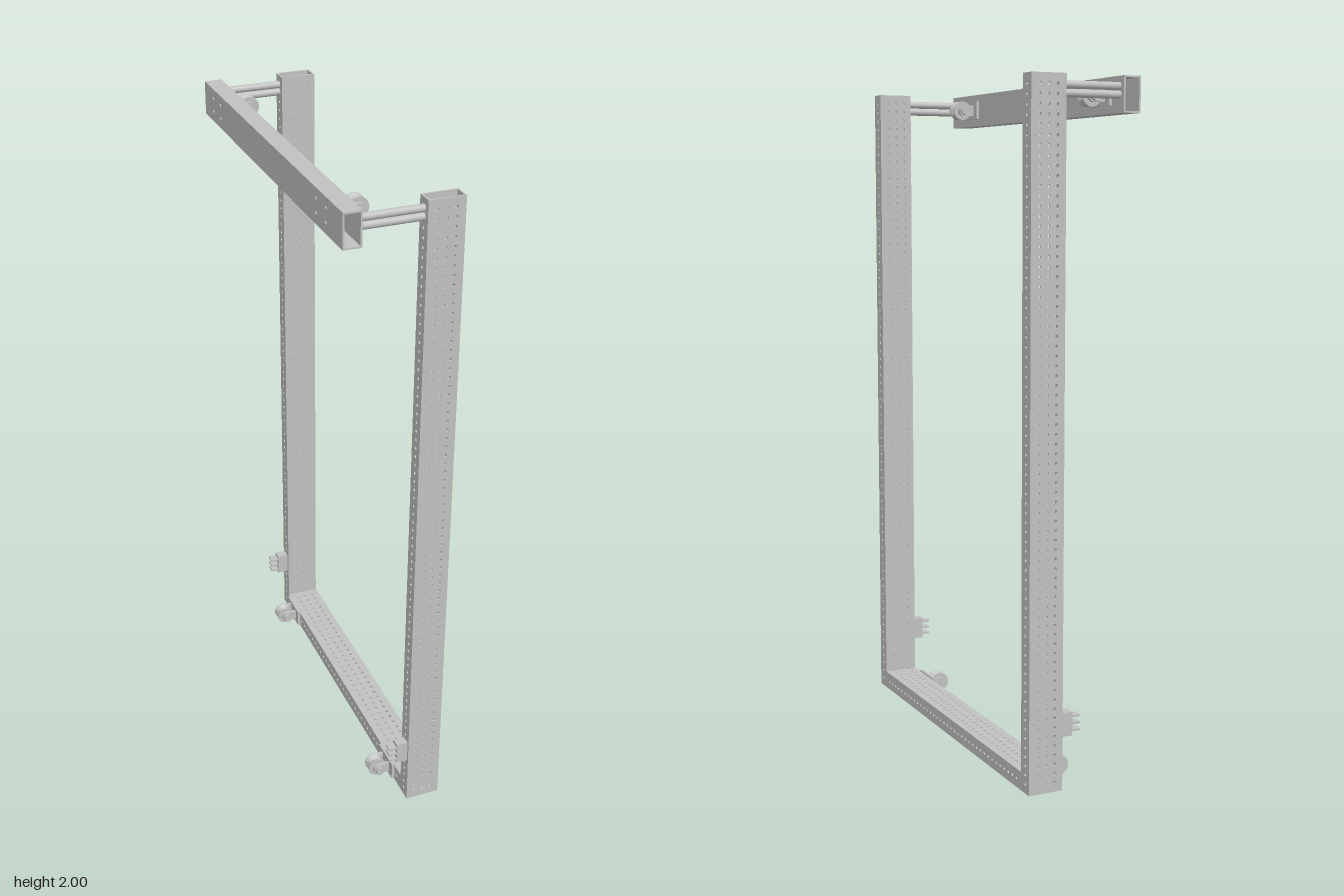
import * as THREE from 'three';
import { toCreasedNormals } from 'three/addons/utils/BufferGeometryUtils.js';

const steel = new THREE.MeshStandardMaterial({ color: 0xc0c0c0 });
steel.name = 'galvanised steel';

const WALL = 0.005;
const PITCH = 0.027;
const HOLE = 0.005;

function add(parent, name, geometry, x = 0, y = 0, z = 0) {
  const mesh = new THREE.Mesh(geometry, steel);
  mesh.name = name;
  mesh.position.set(x, y, z);
  parent.add(mesh);
  return mesh;
}

// Upright plate, centred, with a regular grid of punched holes
function plate(width, length, cols, rows) {
  const w = width / 2, l = length / 2;
  const shape = new THREE.Shape();
  shape.moveTo(-w, -l).lineTo(w, -l).lineTo(w, l).lineTo(-w, l).closePath();
  for (let r = 0; r < rows; r++) {
    for (let c = 0; c < cols; c++) {
      const hole = new THREE.Path();
      hole.absarc((c - (cols - 1) / 2) * PITCH, (r - (rows - 1) / 2) * PITCH, HOLE, 0, Math.PI * 2, true);
      shape.holes.push(hole);
    }
  }
  const geometry = new THREE.ExtrudeGeometry(shape, { depth: WALL, bevelEnabled: false, curveSegments: 6 });
  return geometry.translate(0, 0, -WALL / 2);
}

// Open-ended box section running along its own y axis
function boxSection(name, width, depth, length, wideCols, narrowCols, rows) {
  const group = new THREE.Group();
  group.name = name;
  const wide = plate(width, length, wideCols, rows);
  const narrow = plate(depth - WALL * 2, length, narrowCols, rows);
  for (const s of [-1, 1]) {
    add(group, 'wideWall', wide, 0, 0, s * (depth - WALL) / 2);
    add(group, 'narrowWall', narrow, s * (width - WALL) / 2, 0, 0).rotation.y = Math.PI / 2;
  }
  return group;
}

// Grooved pulley in a fork, mounting face at x = 0, reaching out along +x
function roller(name, headSide) {
  const group = new THREE.Group();
  group.name = name;
  const axleX = 0.043;
  add(group, 'mountPlate', new THREE.BoxGeometry(0.009, 0.056, 0.105), 0.0045, 0, 0);
  for (const s of [-1, 1]) {
    add(group, 'forkArm', new THREE.BoxGeometry(0.04, 0.034, 0.011), 0.027, 0, s * 0.024);
    const boss = new THREE.CylinderGeometry(0.017, 0.017, 0.011, 20).rotateX(Math.PI / 2);
    add(group, 'forkEnd', boss, axleX, 0, s * 0.024);
  }
  const profile = [
    [0.006, -0.018], [0.03, -0.018], [0.03, -0.014], [0.022, -0.006], [0.019, 0],
    [0.022, 0.006], [0.03, 0.014], [0.03, 0.018], [0.006, 0.018],
  ].map(([r, h]) => new THREE.Vector2(r, h));
  const wheel = toCreasedNormals(new THREE.LatheGeometry(profile, 32), 0.6).rotateX(Math.PI / 2);
  add(group, 'pulley', wheel, axleX, 0, 0);
  add(group, 'axle', new THREE.CylinderGeometry(0.007, 0.007, 0.068, 16).rotateX(Math.PI / 2), axleX, 0, 0);
  add(group, 'boltHead', new THREE.CylinderGeometry(0.014, 0.014, 0.012, 6).rotateX(Math.PI / 2),
    axleX, 0, headSide * 0.035);
  return group;
}

export function createModel() {
  const model = new THREE.Group();
  model.name = 'liftFrame';

  // Perforated uprights and the sill between them
  for (const s of [-1, 1]) {
    const post = boxSection(s > 0 ? 'frontPost' : 'backPost', 0.106, 0.05, 2, 3, 1, 73);
    post.position.set(0.113, 1, s * 0.54);
    model.add(post);
  }
  const sill = boxSection('sillBeam', 0.106, 0.055, 1.03, 3, 1, 37);
  sill.rotation.x = Math.PI / 2;
  sill.position.set(0.113, 0.0275, 0);
  model.add(sill);

  // Plain top rail set off to the side
  const rail = boxSection('topRail', 0.053, 0.1, 1.13, 0, 0, 0);
  rail.rotation.x = Math.PI / 2;
  rail.position.set(-0.1435, 1.95, 0);
  model.add(rail);

  for (const s of [-1, 1]) {
    // Paired rods joining rail and post
    for (const y of [1.972, 1.949]) {
      const rod = new THREE.CylinderGeometry(0.011, 0.011, 0.178, 20).rotateZ(Math.PI / 2);
      add(model, 'spacerRod', rod, -0.029, y, s * 0.541);
    }
    // Three-pronged cleat low on each post
    const cleat = new THREE.Group();
    cleat.name = 'cleat';
    add(cleat, 'cleatBody', new THREE.BoxGeometry(0.035, 0.07, 0.03), 0.0425, 0, 0);
    for (const y of [-0.021, 0, 0.021]) {
      add(cleat, 'prong', new THREE.BoxGeometry(0.026, 0.006, 0.028), 0.013, y, 0);
    }
    cleat.position.set(0, 0.19, s * 0.543);
    model.add(cleat);
  }

  // Rollers on the rail and the sill, facing each other
  for (const z of [-0.447, 0.415]) {
    const upper = roller('upperRoller', -1);
    upper.position.set(-0.117, 1.95, z);
    const lower = roller('lowerRoller', -1);
    lower.position.set(0.06, 0.032, z);
    lower.rotation.y = Math.PI;
    model.add(upper, lower);

    // Mounting bolts on the outside of the rail
    for (const dy of [-0.02, 0.02]) {
      for (const dz of [-0.035, 0.035]) {
        const bolt = new THREE.CylinderGeometry(0.006, 0.006, 0.004, 8).rotateZ(Math.PI / 2);
        add(model, 'railBolt', bolt, -0.171, 1.95 + dy, z + dz);
      }
    }
  }
  return model;
}
